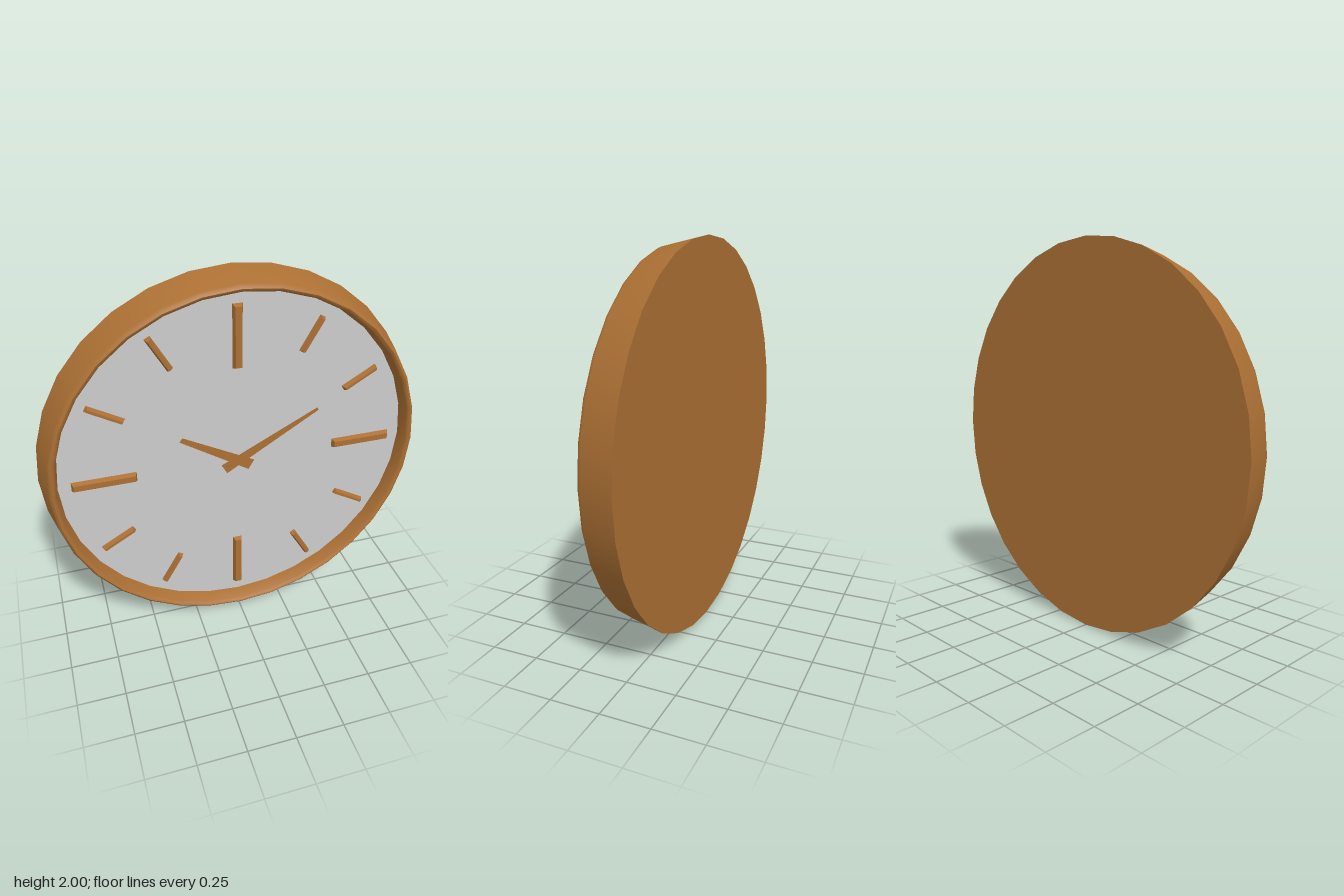
import * as THREE from 'three';
import { toCreasedNormals } from 'three/addons/utils/BufferGeometryUtils.js';

const SIDES = 32;
const FACE_Z = 0.012;

const wood = new THREE.MeshStandardMaterial({ color: 0xac7034 });
const thinWood = new THREE.MeshStandardMaterial({ color: 0xac7034, side: THREE.DoubleSide });
const grey = new THREE.MeshStandardMaterial({ color: 0xcccccc });

function add(parent, name, geometry, material) {
  const mesh = new THREE.Mesh(geometry, material);
  mesh.name = name;
  parent.add(mesh);
  return mesh;
}

// Raised bar whose front face is inset on all four sides
function markerGeometry(length, width) {
  const height = 0.025, inset = 0.009;
  const geo = new THREE.BoxGeometry(width, length, height).toNonIndexed();
  const p = geo.attributes.position;
  for (let i = 0; i < p.count; i++) {
    if (p.getZ(i) > 0) {
      p.setX(i, p.getX(i) - Math.sign(p.getX(i)) * inset);
      p.setY(i, p.getY(i) - Math.sign(p.getY(i)) * inset);
    }
  }
  geo.computeVertexNormals();
  return geo.translate(0, 0, height / 2);
}

// Flat tapered blade along +x, with a wide tail behind the pivot
function handGeometry(tail, tip, tailWidth, tipWidth) {
  const shape = new THREE.Shape([
    new THREE.Vector2(-tail, -tailWidth / 2),
    new THREE.Vector2(tip, -tipWidth / 2),
    new THREE.Vector2(tip, tipWidth / 2),
    new THREE.Vector2(-tail, tailWidth / 2),
  ]);
  return new THREE.ShapeGeometry(shape);
}

export function createModel() {
  const clock = new THREE.Group();
  clock.name = 'wallClock';
  const body = new THREE.Group();
  body.name = 'body';
  body.position.y = 1;
  clock.add(body);

  // Case: closed back, flared side, rounded front lip, inner slope (radius, depth)
  const profile = [
    [0, -0.095], [1, -0.095], [0.963, 0.072], [0.957, 0.086], [0.946, 0.094],
    [0.935, 0.09], [0.927, 0.078], [0.915, FACE_Z],
  ].map(([r, z]) => new THREE.Vector2(r, z));
  const rim = new THREE.LatheGeometry(profile, SIDES).rotateX(Math.PI / 2);
  add(body, 'case', toCreasedNormals(rim, 0.9), wood);

  // Dial, its corners lined up with those of the case
  add(body, 'dial', new THREE.CircleGeometry(0.916, SIDES), grey).position.z = FACE_Z;

  // Twelve hour markers, the quarter ones longer and wider
  const markers = new THREE.Group();
  markers.name = 'hourMarkers';
  body.add(markers);
  const longBar = markerGeometry(0.325, 0.05);
  const shortBar = markerGeometry(0.2, 0.032);
  for (let i = 0; i < 12; i++) {
    const quarter = i % 3 === 0;
    const angle = (i * Math.PI) / 6;
    const radius = quarter ? 0.687 : 0.75;
    const bar = add(markers, quarter ? 'quarterMarker' : 'hourMarker', quarter ? longBar : shortBar, wood);
    bar.position.set(Math.sin(angle) * radius, Math.cos(angle) * radius, FACE_Z);
    bar.rotation.z = -angle;
  }

  // Hands
  const hourHand = add(body, 'hourHand', handGeometry(0.085, 0.342, 0.062, 0.027), thinWood);
  hourHand.position.z = FACE_Z + 0.01;
  hourHand.rotation.z = THREE.MathUtils.degToRad(149.5);
  const minuteHand = add(body, 'minuteHand', handGeometry(0.085, 0.487, 0.062, 0.018), thinWood);
  minuteHand.position.z = FACE_Z + 0.016;
  minuteHand.rotation.z = THREE.MathUtils.degToRad(29);

  return clock;
}
